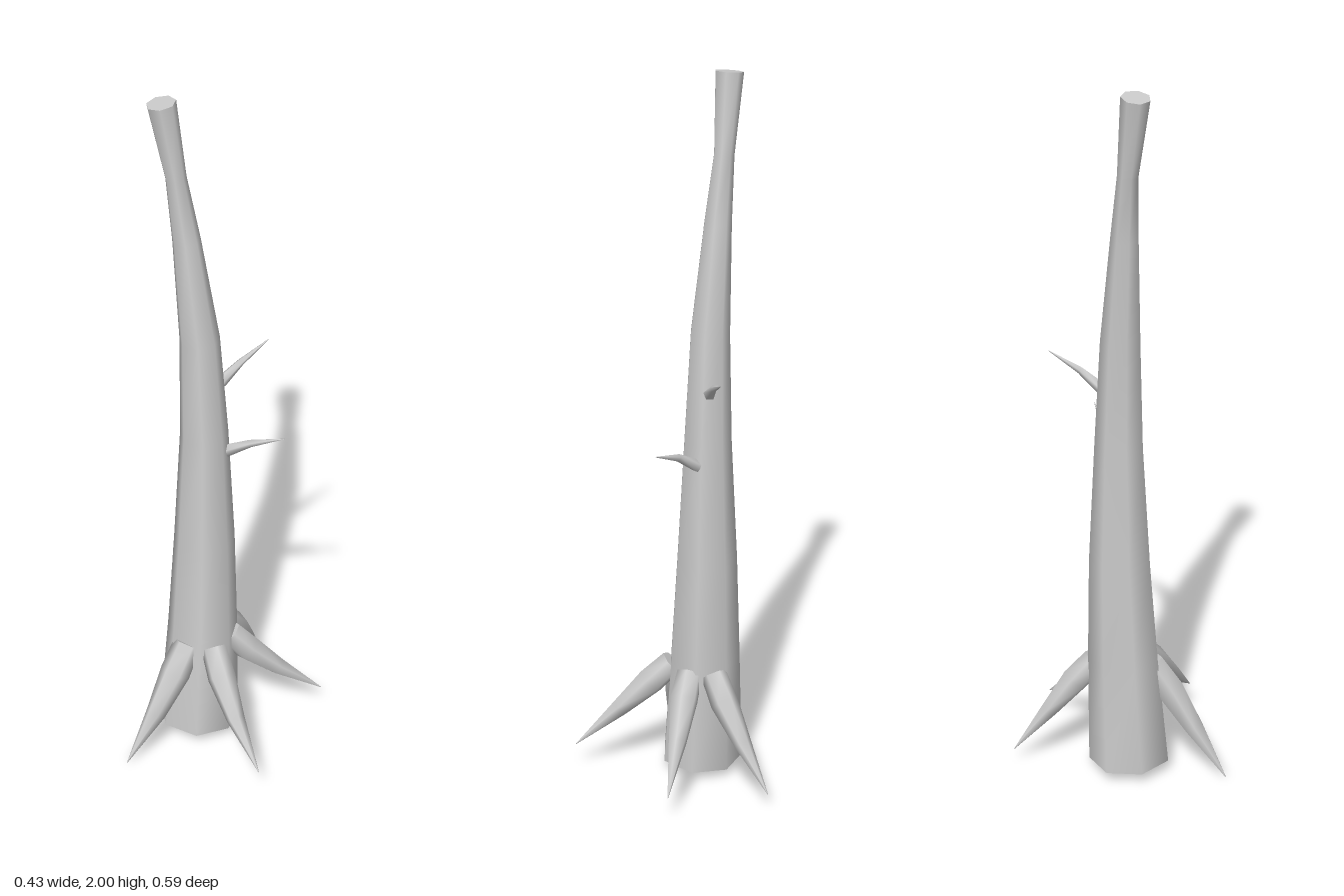
import * as THREE from 'three';

// Smooth tube through stations [x, y, z, radius], with flat caps at both ends.
function loft(stations, sides, ref) {
  const pos = [], index = [];
  const centres = stations.map(s => new THREE.Vector3(s[0], s[1], s[2]));
  const last = stations.length - 1;
  const addRing = i => {
    const start = pos.length / 3;
    const t = centres[Math.min(i + 1, last)].clone().sub(centres[Math.max(i - 1, 0)]).normalize();
    const u = ref.clone().addScaledVector(t, -ref.dot(t)).normalize();
    const v = t.clone().cross(u);
    for (let j = 0; j < sides; j++) {
      const a = (j / sides) * Math.PI * 2;
      const p = centres[i].clone()
        .addScaledVector(u, Math.cos(a) * stations[i][3])
        .addScaledVector(v, Math.sin(a) * stations[i][3]);
      pos.push(p.x, p.y, p.z);
    }
    return start;
  };
  const rings = stations.map((s, i) => addRing(i));
  for (let i = 0; i < last; i++) {
    for (let j = 0; j < sides; j++) {
      const k = (j + 1) % sides;
      const a = rings[i] + j, b = rings[i] + k, c = rings[i + 1] + k, d = rings[i + 1] + j;
      index.push(a, b, c, a, c, d);
    }
  }
  // Caps use their own vertices so their rims stay sharp.
  for (const i of [0, last]) {
    const r = addRing(i);
    for (let j = 1; j < sides - 1; j++) {
      if (i === 0) index.push(r, r + j + 1, r + j);
      else index.push(r, r + j, r + j + 1);
    }
  }
  const g = new THREE.BufferGeometry();
  g.setAttribute('position', new THREE.Float32BufferAttribute(pos, 3));
  g.setIndex(index);
  g.computeVertexNormals();
  return g;
}

export function createModel() {
  const model = new THREE.Group();
  model.name = 'deadTree';
  const bark = new THREE.MeshStandardMaterial({ color: 0xcccccc });
  bark.name = 'bark grey';

  const add = (name, stations, sides, ref) => {
    const mesh = new THREE.Mesh(loft(stations, sides, ref), bark);
    mesh.name = name;
    model.add(mesh);
  };

  // Seven-sided trunk that bends and flares at the top
  add('trunk', [
    [-0.087, 0.03, 0.03, 0.115],
    [-0.082, 0.35, 0.013, 0.1],
    [-0.08, 0.65, 0.003, 0.086],
    [-0.08, 1.0, 0, 0.067],
    [-0.09, 1.3, 0.003, 0.055],
    [-0.122, 1.6, 0.011, 0.038],
    [-0.147, 1.78, 0.017, 0.028],
    [-0.177, 1.995, 0.034, 0.039],
  ], 7, new THREE.Vector3(0, 0, -1));

  // Pointed roots that leave the trunk and curve down and out
  const up = new THREE.Vector3(0, 1, 0);
  const roots = {
    rootFrontRight: [[-0.09, 0.325, 0.085, 0.04], [-0.102, 0.25, 0.137, 0.043], [-0.128, 0.14, 0.205, 0.029], [-0.175, 0.0, 0.292, 0.001]],
    rootFrontLeft: [[-0.015, 0.325, 0.07, 0.036], [0.032, 0.265, 0.108, 0.04], [0.105, 0.18, 0.16, 0.026], [0.212, 0.075, 0.223, 0.001]],
    rootBackLeft: [[-0.01, 0.325, -0.015, 0.036], [0.032, 0.265, -0.042, 0.04], [0.1, 0.18, -0.1, 0.026], [0.2, 0.075, -0.185, 0.001]],
    rootBack: [[-0.055, 0.325, -0.065, 0.036], [-0.05, 0.26, -0.12, 0.039], [-0.054, 0.165, -0.195, 0.025], [-0.063, 0.045, -0.295, 0.001]],
  };
  for (const [name, stations] of Object.entries(roots)) add(name, stations, 6, up);

  // Two small twigs partway up
  const twigs = {
    lowerTwig: [[-0.025, 0.945, -0.027, 0.018], [0.045, 0.988, -0.034, 0.011], [0.137, 1.02, -0.055, 0.001]],
    upperTwig: [[-0.052, 1.15, -0.045, 0.017], [-0.022, 1.19, -0.1, 0.01], [0.02, 1.23, -0.182, 0.001]],
  };
  for (const [name, stations] of Object.entries(twigs)) add(name, stations, 5, up);

  return model;
}
